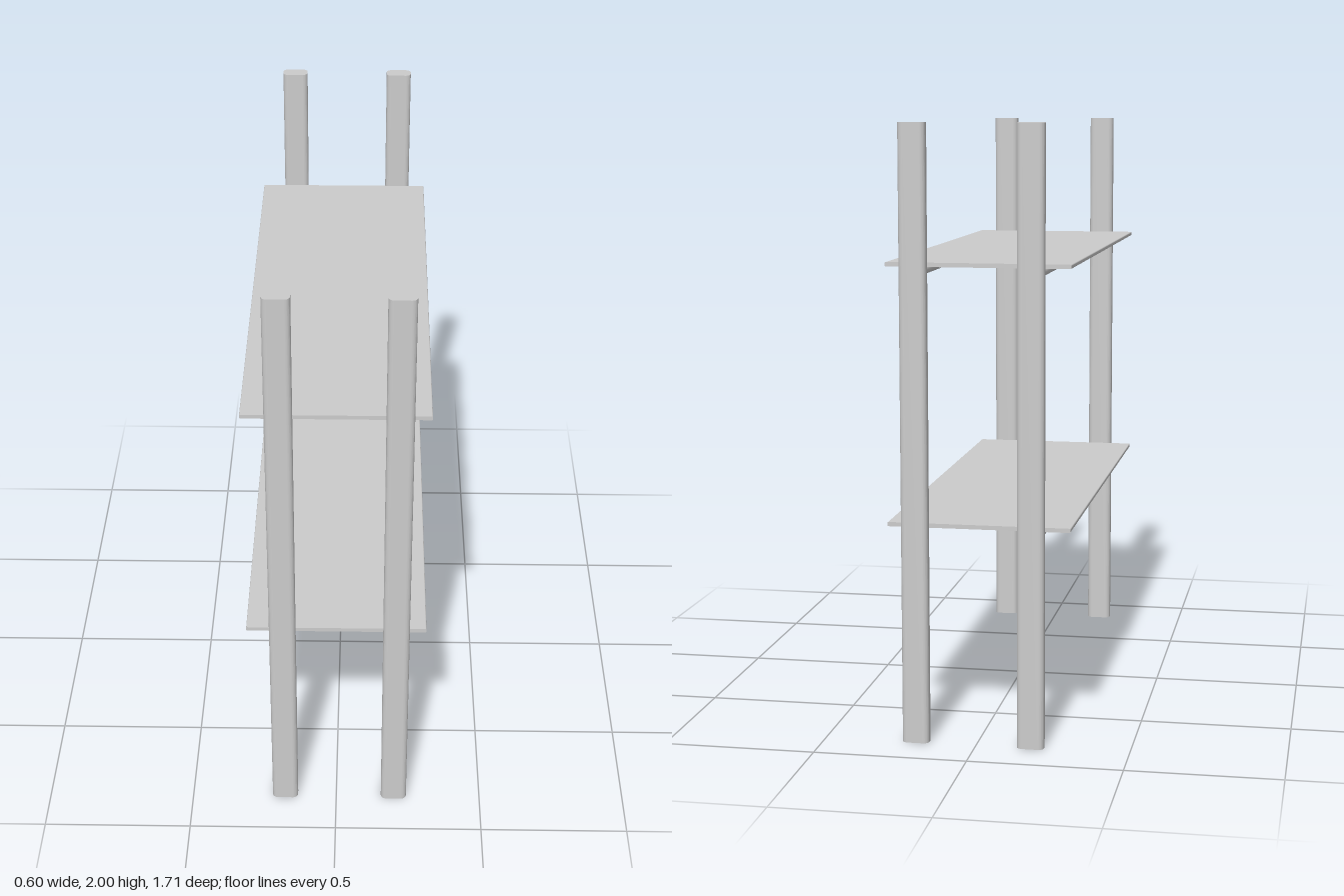
import * as THREE from 'three';

const material = new THREE.MeshStandardMaterial({ color: 0xcccccc });

// Rounded rectangle extruded along +z, centred on its section
function roundedBar(w, h, r, length) {
  const x = w / 2, y = h / 2;
  const s = new THREE.Shape();
  s.moveTo(-x + r, -y);
  s.lineTo(x - r, -y);
  s.absarc(x - r, -y + r, r, -Math.PI / 2, 0);
  s.lineTo(x, y - r);
  s.absarc(x - r, y - r, r, 0, Math.PI / 2);
  s.lineTo(-x + r, y);
  s.absarc(-x + r, y - r, r, Math.PI / 2, Math.PI);
  s.lineTo(-x, -y + r);
  s.absarc(-x + r, -y + r, r, Math.PI, Math.PI * 1.5);
  return new THREE.ExtrudeGeometry(s, { depth: length, bevelEnabled: false, curveSegments: 6 });
}

export function createModel() {
  const group = new THREE.Group();
  const add = (name, geometry, x, y, z) => {
    const mesh = new THREE.Mesh(geometry, material);
    mesh.name = name;
    mesh.position.set(x, y, z);
    group.add(mesh);
  };

  // Four upright posts with softened corners
  const post = roundedBar(0.088, 0.051, 0.018, 2).rotateX(-Math.PI / 2);
  for (const [side, x] of [['right', -0.178], ['left', 0.2]]) {
    add(`${side}FrontPost`, post, x, 0, 0.829);
    add(`${side}BackPost`, post, x, 0, -0.829);
  }

  // Two thin shelves, each carried by a pair of round rails between the posts
  const shelf = roundedBar(0.6, 0.014, 0.004, 1.594);
  const rail = new THREE.CylinderGeometry(0.017, 0.017, 1.61, 20).rotateX(Math.PI / 2);
  for (const [level, top] of [['lower', 0.718], ['upper', 1.56]]) {
    add(`${level}Shelf`, shelf, 0, top - 0.007, -0.794);
    add(`${level}RightRail`, rail, -0.19, top - 0.03, 0);
    add(`${level}LeftRail`, rail, 0.2, top - 0.03, 0);
  }
  return group;
}
